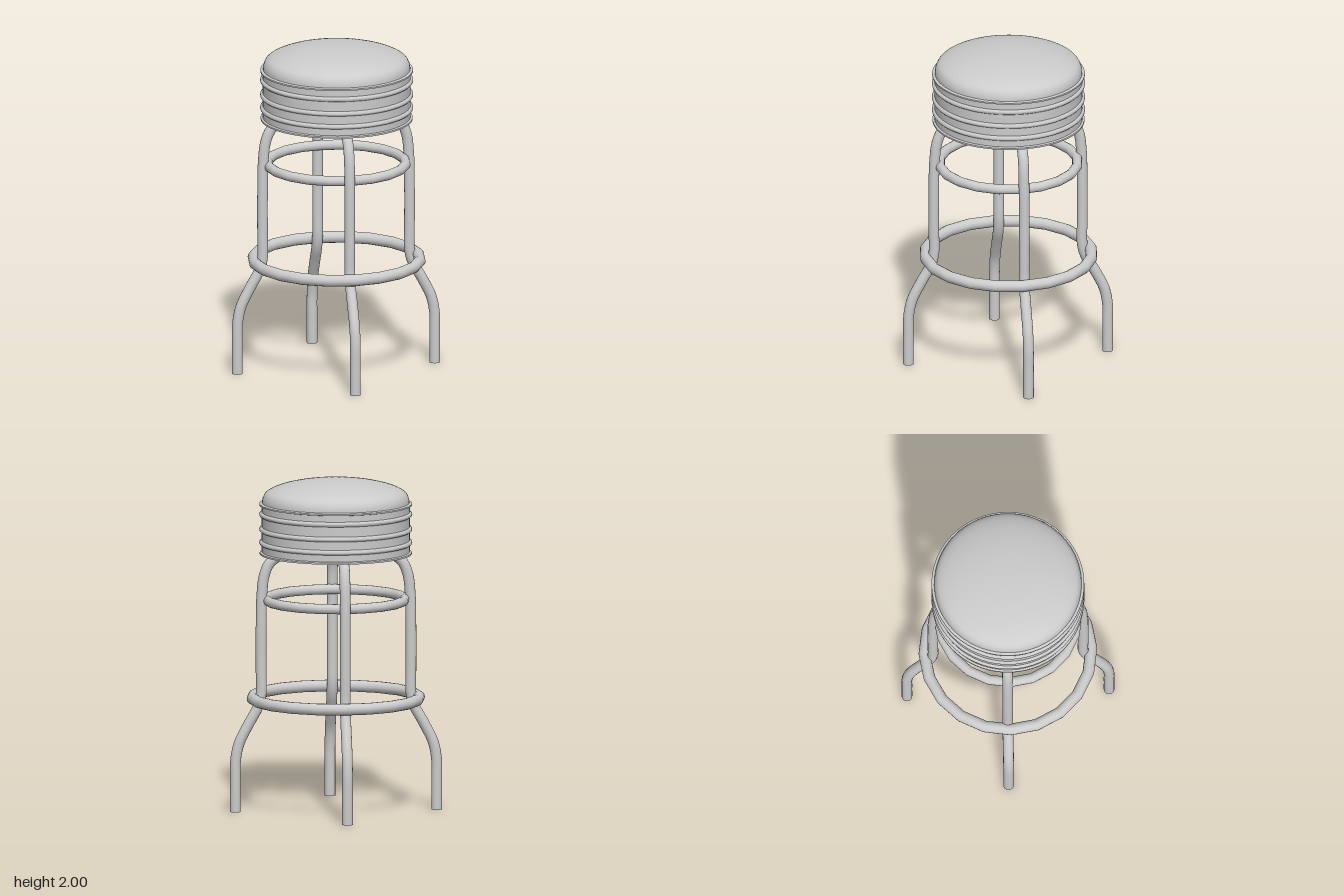
import * as THREE from 'three';
import { toCreasedNormals } from 'three/addons/utils/BufferGeometryUtils.js';

const material = new THREE.MeshStandardMaterial({ color: 0xcccccc });

function addMesh(parent, name, geometry) {
  const mesh = new THREE.Mesh(geometry, material);
  mesh.name = name;
  parent.add(mesh);
  return mesh;
}

// Padded seat: flat underside, ribbed band and domed cushion in one profile
function seatGeometry() {
  const points = [[0, 1.55], [0.455, 1.55], [0.455, 1.56], [0.443, 1.565]];
  for (const y of [1.62, 1.70, 1.79]) {
    for (let i = 0; i <= 6; i++) {
      const a = -Math.PI / 2 + (i / 6) * Math.PI;
      points.push([0.443 + 0.015 * Math.cos(a), y + 0.015 * Math.sin(a)]);
    }
  }
  points.push([0.443, 1.843], [0.457, 1.846], [0.457, 1.855], [0.441, 1.86]);
  const dome = new THREE.SplineCurve([
    [0.441, 1.86], [0.436, 1.89], [0.415, 1.922], [0.36, 1.95],
    [0.28, 1.973], [0.19, 1.989], [0.1, 1.997], [0, 2],
  ].map(([r, y]) => new THREE.Vector2(r, y)));
  const profile = points.map(([r, y]) => new THREE.Vector2(r, y));
  profile.push(...dome.getPoints(24).slice(1));
  profile[profile.length - 1].x = 0;
  return toCreasedNormals(new THREE.LatheGeometry(profile, 64), 0.6);
}

// Bent tube leg running outwards along +x
function legGeometry() {
  const path = new THREE.CatmullRomCurve3([
    [0.25, 1.565], [0.33, 1.548], [0.395, 1.505], [0.43, 1.43], [0.446, 1.3],
    [0.45, 1.1], [0.45, 0.85], [0.45, 0.71], [0.468, 0.635], [0.53, 0.52],
    [0.583, 0.41], [0.603, 0.31], [0.605, 0.18], [0.605, 0],
  ].map(([x, y]) => new THREE.Vector3(x, y, 0)), false, 'centripetal');
  return new THREE.TubeGeometry(path, 72, 0.032, 16);
}

function createModel() {
  const model = new THREE.Group();
  model.name = 'barStool';

  addMesh(model, 'seat', seatGeometry());

  // Four legs, the pairs set slightly off the seat axis
  const legShape = legGeometry();
  const footShape = new THREE.CircleGeometry(0.032, 16).rotateX(Math.PI / 2);
  for (let i = 0; i < 4; i++) {
    const leg = new THREE.Group();
    leg.name = `leg${i + 1}`;
    addMesh(leg, 'legTube', legShape);
    addMesh(leg, 'footCap', footShape).position.x = 0.605;
    leg.rotation.y = (i * Math.PI) / 2;
    if (i % 2) leg.position.x = -0.018;
    else leg.position.z = -0.018;
    model.add(leg);
  }

  // Twenty-sided brace and foot rings
  for (const [name, y, radius, tube] of [
    ['upperRing', 1.275, 0.415, 0.03],
    ['footRing', 0.68, 0.5, 0.035],
  ]) {
    const ring = new THREE.TorusGeometry(radius, tube, 14, 20).rotateX(Math.PI / 2);
    addMesh(model, name, ring).position.y = y;
  }

  return model;
}

export { createModel };
